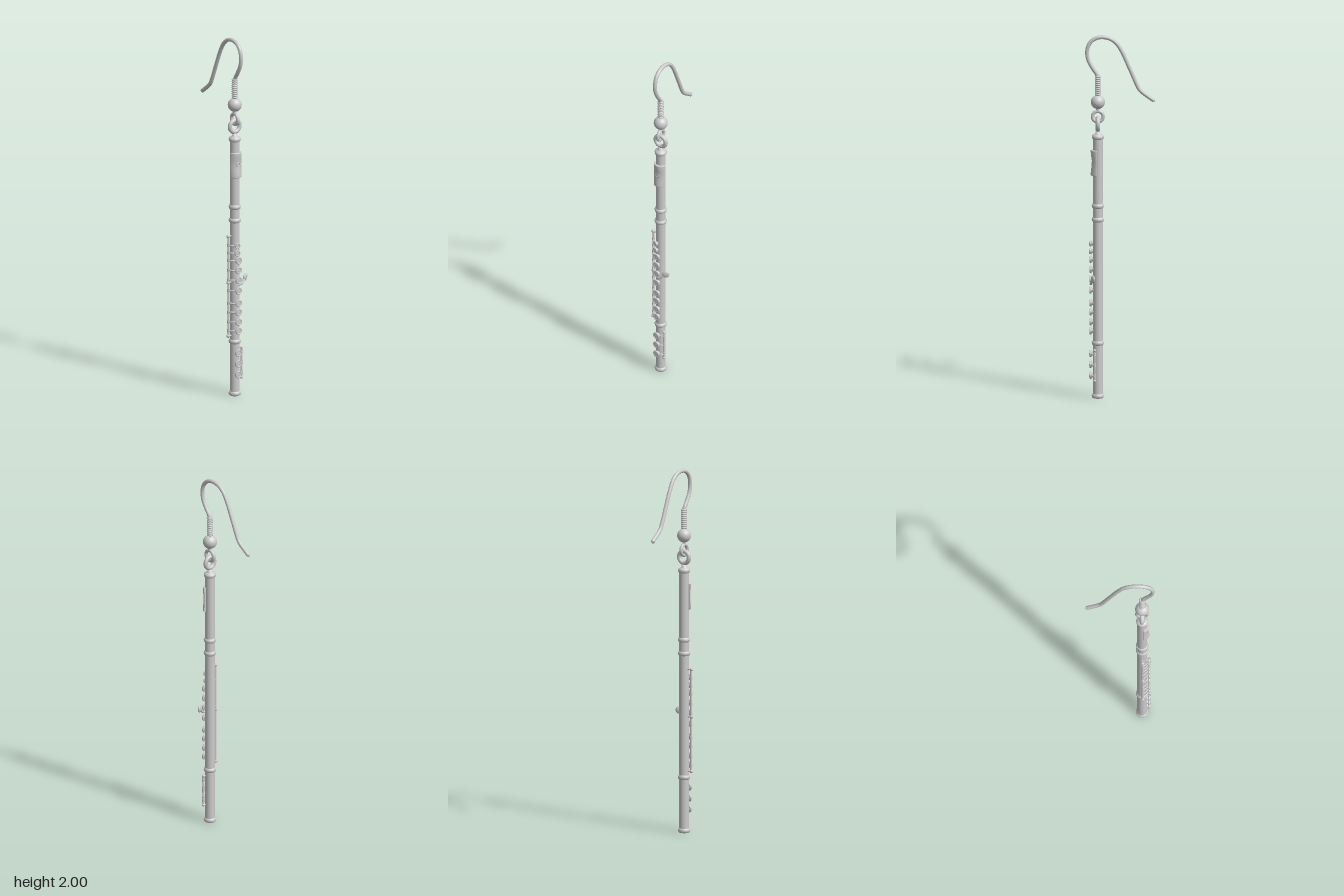
import * as THREE from 'three';

const mat = new THREE.MeshStandardMaterial({ color: 0xcccccc });
const V = (x, y, z) => new THREE.Vector3(x, y, z);
const UP = V(0, 1, 0);

export function createModel() {
  const root = new THREE.Group();
  root.name = 'fluteEarring';
  // everything below is placed around the flute's own axis
  const body = new THREE.Group();
  body.name = 'earring';
  body.position.set(-0.007, 0, 0.12);
  root.add(body);

  const add = (name, geo, x = 0, y = 0, z = 0, parent = body) => {
    const m = new THREE.Mesh(geo, mat);
    m.name = name;
    m.position.set(x, y, z);
    parent.add(m);
    return m;
  };
  const lathe = (pts, seg = 32) => new THREE.LatheGeometry(pts.map(p => new THREE.Vector2(...p)), seg);
  const rod = (name, a, b, r) => {
    const d = b.clone().sub(a);
    const m = add(name, new THREE.CylinderGeometry(r, r, d.length(), 12));
    m.position.copy(a).add(b).multiplyScalar(0.5);
    m.quaternion.setFromUnitVectors(UP, d.normalize());
    return m;
  };
  const wire = (name, pts, r, seg = 24, sides = 12) =>
    add(name, new THREE.TubeGeometry(new THREE.CatmullRomCurve3(pts), seg, r, sides));

  // hollow tube: inside up, outside down to the open foot
  const R = 0.0265;
  add('outerTube', new THREE.CylinderGeometry(R, R, 1.43, 40, 1, true), 0, 0.725, 0);
  const bore = add('bore', new THREE.CylinderGeometry(0.021, 0.021, 1.42, 32, 1, true), 0, 0.72, 0);
  bore.material = mat.clone();
  bore.material.side = THREE.BackSide;
  add('footLip', new THREE.RingGeometry(0.021, R, 40), 0, 0.01, 0).rotation.x = Math.PI / 2;

  // joint rings
  for (const [y, h] of [[1.06, 0.012], [0.985, 0.012], [0.305, 0.012], [0.013, 0.012]]) {
    add('jointRing', lathe([[R, -h], [0.031, -h * 0.7], [0.0335, 0], [0.031, h * 0.7], [R, h]], 40), 0, y, 0);
  }
  // crown with a small finial under the ring
  add('crown', lathe([[R, 1.428], [0.031, 1.431], [0.033, 1.44], [0.031, 1.449], [0.022, 1.454],
    [0.014, 1.459], [0.012, 1.472], [0, 1.474]], 40));

  // linked rings: one facing front, one turned sideways
  add('fluteRing', new THREE.TorusGeometry(0.032, 0.012, 14, 36), 0, 1.512, 0);
  add('hookLoop', new THREE.TorusGeometry(0.029, 0.0095, 14, 36), 0, 1.552, 0).rotation.y = Math.PI / 2;
  add('loopNeck', new THREE.CylinderGeometry(0.0095, 0.0095, 0.03, 12), 0, 1.592, 0);

  // bead and wrapped coil
  add('bead', new THREE.SphereGeometry(0.038, 32, 20), 0, 1.632, 0);
  add('coilCore', new THREE.CylinderGeometry(0.011, 0.011, 0.11, 16), 0, 1.722, 0);
  for (let i = 0; i < 10; i++) {
    add('coilTurn', new THREE.TorusGeometry(0.0115, 0.0056, 8, 24), 0, 1.674 + i * 0.0109, 0).rotation.x = Math.PI / 2;
  }

  // ear hook, bent in the yz plane
  const hook = [[0, 1.76], [0.006, 1.785], [0.029, 1.82], [0.052, 1.865], [0.058, 1.91], [0.045, 1.955],
    [0.012, 1.983], [-0.03, 1.989], [-0.071, 1.978], [-0.105, 1.95], [-0.135, 1.9], [-0.175, 1.81],
    [-0.222, 1.705], [-0.235, 1.69], [-0.3, 1.641]];
  wire('earHook', hook.map(([z, y]) => V(0, y, z)), 0.0108, 120, 14);
  const tip = add('hookTip', new THREE.ConeGeometry(0.0108, 0.01, 14), 0, 1.638, -0.304);
  tip.quaternion.setFromUnitVectors(UP, V(0, -0.049, -0.065).normalize());

  // lip plate: curved shell hugging the tube, ends a little proud
  const arc = new THREE.Shape();
  const a0 = Math.PI * 0.08, a1 = Math.PI * 0.92;
  arc.absarc(0, 0, 0.034, a0, a1, false);
  arc.absarc(0, 0, 0.025, a1, a0, true);
  const plateGeo = new THREE.ExtrudeGeometry(arc, { depth: 0.132, steps: 12, curveSegments: 20,
    bevelEnabled: true, bevelThickness: 0.004, bevelSize: 0.002, bevelSegments: 3 });
  plateGeo.translate(0, 0, -0.066);
  plateGeo.rotateX(Math.PI / 2);
  const p = plateGeo.attributes.position;
  for (let i = 0; i < p.count; i++) {
    const bulge = 0.08 * Math.cos(p.getY(i) / 0.066 * Math.PI);
    if (Math.hypot(p.getX(i), p.getZ(i)) > 0.03) p.setZ(i, p.getZ(i) * (1 - bulge));
  }
  plateGeo.computeVertexNormals();
  add('lipPlate', plateGeo, 0, 1.298, 0);
  add('blowHoleRim', new THREE.TorusGeometry(0.011, 0.0025, 8, 24), 0, 1.303, 0.033);

  // cupped key on a stem, facing along the angle around the tube
  const addKey = (y, r, angle) => {
    const key = new THREE.Group();
    key.name = 'key';
    const s = r / 0.02;
    add('keyCup', lathe([[0, 0], [0.017 * s, 0], [0.02 * s, 0.003], [0.02 * s, 0.009], [0.0175 * s, 0.0125],
      [0.0145 * s, 0.0115], [0.012 * s, 0.009], [0.006 * s, 0.0105], [0, 0.011]], 24), 0, 0.006, 0, key);
    add('keyStem', new THREE.CylinderGeometry(0.011 * s, 0.013 * s, 0.014, 16), 0, 0, 0, key);
    const dir = V(Math.sin(angle), 0, Math.cos(angle));
    key.position.copy(dir).multiplyScalar(0.027).setY(y);
    key.quaternion.setFromUnitVectors(UP, dir);
    body.add(key);
  };

  // main key row with arms to the side rod
  const rodX = -0.044, rodZ = 0.003;
  const mainKeys = [[0.85, 0.016, -0.25], [0.807, 0.016, -0.25], [0.765, 0.02, -0.05], [0.71, 0.02, -0.05],
    [0.655, 0.02, -0.05], [0.595, 0.02, -0.05], [0.525, 0.02, -0.05], [0.475, 0.02, -0.05],
    [0.42, 0.02, -0.05], [0.37, 0.02, -0.05]];
  for (const [y, r, a] of mainKeys) {
    addKey(y, r, a);
    wire('keyArm', [V(rodX, y, rodZ), V(-0.034, y, 0.02), V(-0.012, y, 0.035)], 0.0045, 10, 8);
    add('rodSleeve', new THREE.CylinderGeometry(0.0075, 0.0075, 0.018, 12), rodX, y, rodZ);
  }
  rod('mainRod', V(rodX, 0.335, rodZ), V(rodX, 0.9, rodZ), 0.0055);
  for (const y of [0.9, 0.64, 0.34]) {
    rod('rodPost', V(-0.02, y, 0), V(rodX, y, rodZ), 0.005);
    add('rodPostBall', new THREE.SphereGeometry(0.0095, 16, 12), rodX - 0.002, y, rodZ);
  }

  // side lever: a spoon on a curved arm
  wire('leverArm', [V(-0.005, 0.63, 0.033), V(0.015, 0.632, 0.038), V(0.032, 0.645, 0.034), V(0.045, 0.66, 0.028)], 0.0065, 16, 10);
  const spoon = add('leverSpoon', new THREE.SphereGeometry(0.02, 24, 16), 0.05, 0.664, 0.027);
  spoon.scale.set(1, 1.05, 0.4);
  spoon.rotation.set(0, 0.45, -0.5);

  // foot keys and their rod on the other side
  const footX = 0.032, footZ = 0.018;
  for (const y of [0.245, 0.185, 0.125]) {
    addKey(y, 0.02, -0.08);
    wire('footKeyArm', [V(footX, y, footZ), V(0.026, y, 0.028), V(0.008, y, 0.034)], 0.0045, 10, 8);
    add('footRodSleeve', new THREE.CylinderGeometry(0.007, 0.007, 0.02, 12), footX, y, footZ);
  }
  rod('footRod', V(footX, 0.1, footZ), V(footX, 0.268, footZ), 0.005);
  for (const y of [0.1, 0.268]) {
    rod('footRodPost', V(0.018, y, 0.01), V(footX, y, footZ), 0.005);
    add('footRodBall', new THREE.SphereGeometry(0.008, 16, 12), footX, y, footZ);
  }
  return root;
}
